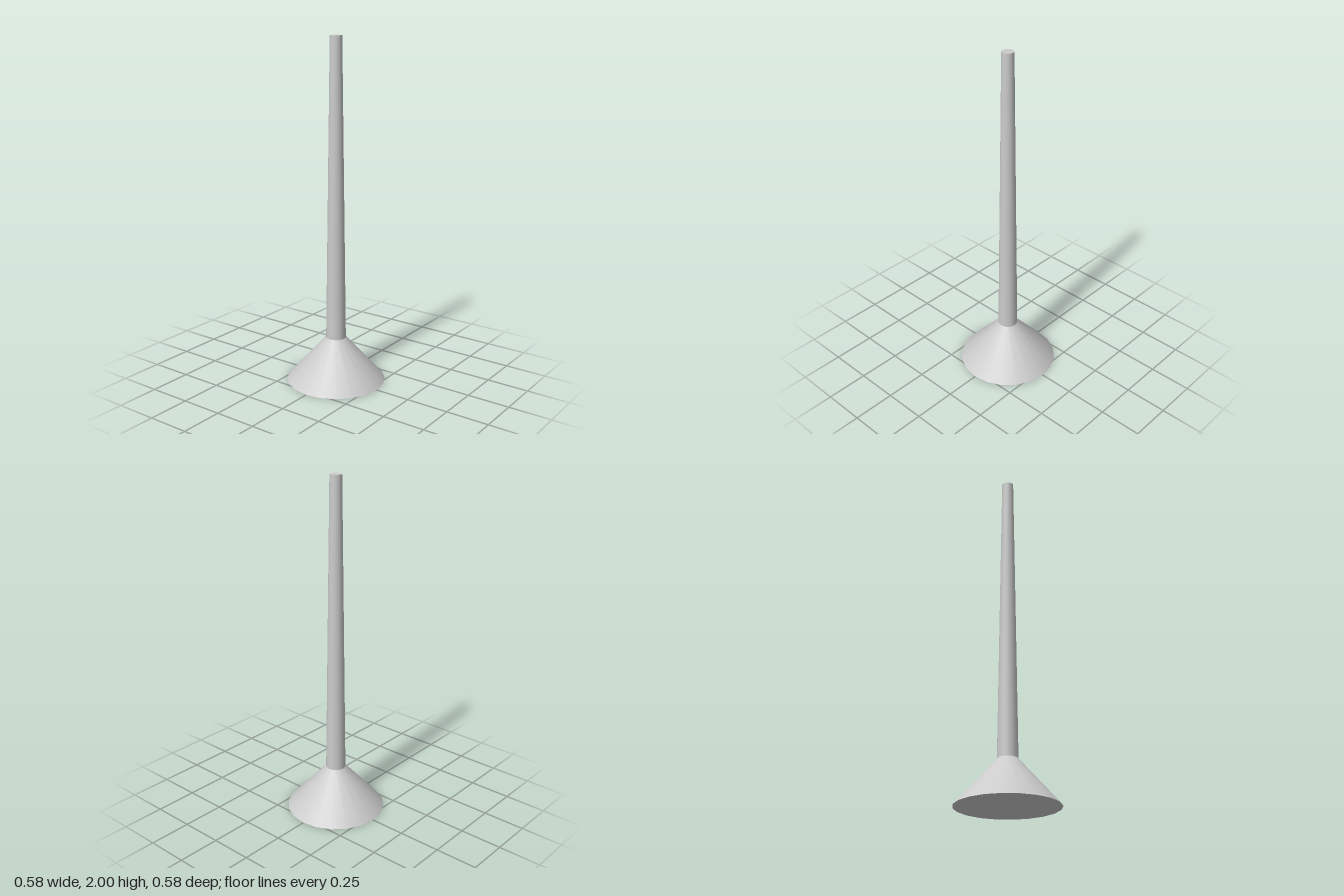
import * as THREE from 'three';

const SIDES = 20;

export function createModel() {
  const group = new THREE.Group();
  const material = new THREE.MeshStandardMaterial({ color: 0xcccccc });

  // Each ring surface is its own lathe, so edges between surfaces stay sharp
  const addRing = (name, from, to) => {
    const profile = [new THREE.Vector2(...from), new THREE.Vector2(...to)];
    const mesh = new THREE.Mesh(new THREE.LatheGeometry(profile, SIDES), material);
    mesh.name = name;
    group.add(mesh);
  };

  // Flared base: outer cone, shallow hollow underneath and its flat ceiling
  addRing('baseOuter', [0.29, 0], [0.058, 0.26]);
  addRing('baseHollow', [0.106, 0.1], [0.29, 0]);
  addRing('baseHollowCeiling', [0, 0.1], [0.106, 0.1]);

  // Slender tapering stem with a flat top
  const stem = new THREE.Mesh(new THREE.CylinderGeometry(0.034, 0.058, 1.74, SIDES), material);
  stem.name = 'stem';
  stem.position.y = 1.13;
  group.add(stem);

  return group;
}
